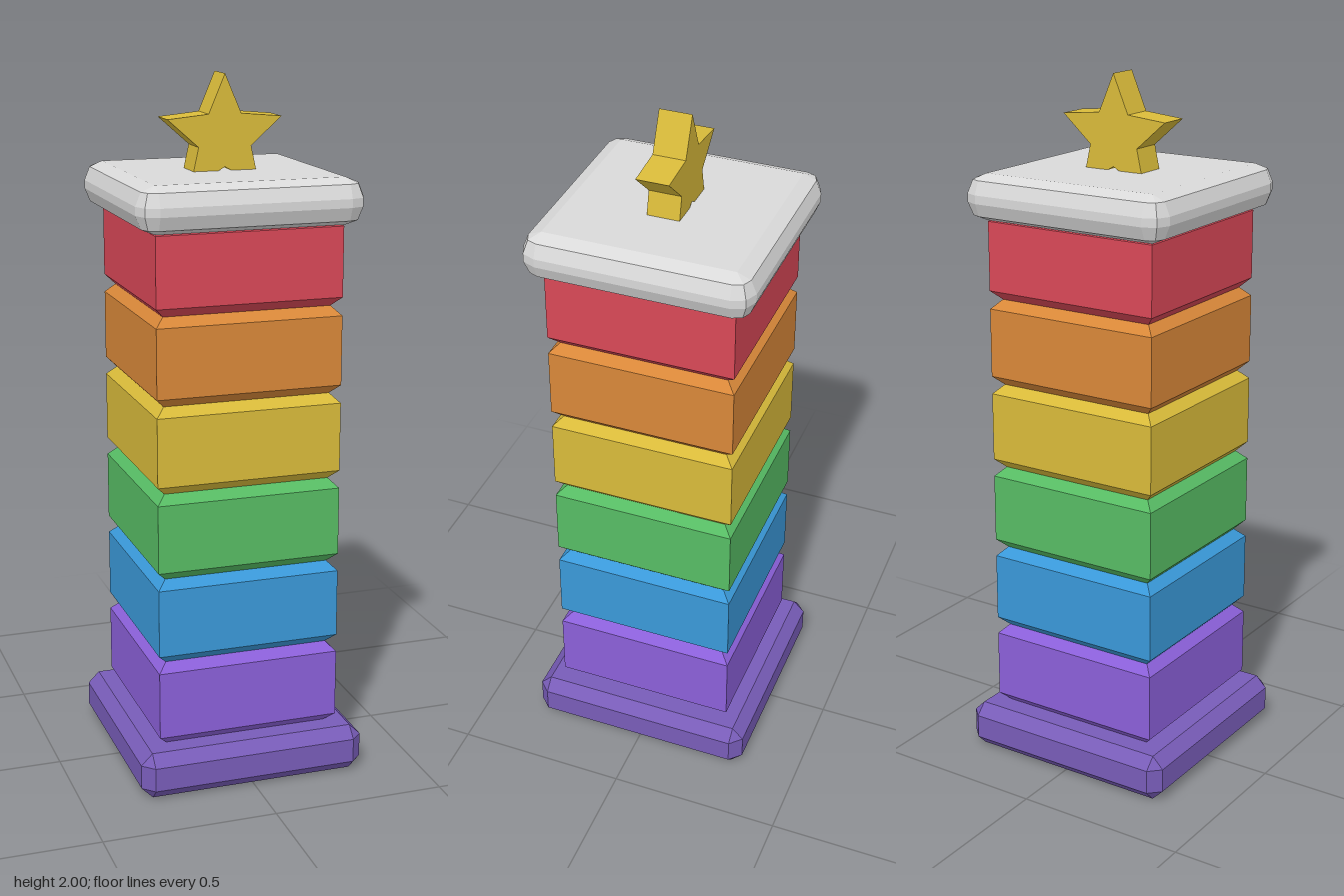
import * as THREE from 'three';
import { ConvexGeometry } from 'three/addons/geometries/ConvexGeometry.js';

const material = (name, color) => {
  const m = new THREE.MeshStandardMaterial({ color });
  m.name = name;
  return m;
};

// Square slab from rings [core half-width, corner radius, y];
// each corner is cut into the given number of steps (0 = sharp).
function slab(rings, steps) {
  const points = [];
  for (const [core, radius, y] of rings) {
    for (const sx of [-1, 1]) for (const sz of [-1, 1]) {
      const count = radius > 0 ? steps : 0;
      for (let i = 0; i <= count; i++) {
        const a = count ? (i / count) * Math.PI / 2 : 0;
        const dx = radius * Math.cos(a), dz = radius * Math.sin(a);
        points.push(new THREE.Vector3(sx * (core + dx), y, sz * (core + dz)));
      }
    }
  }
  return new ConvexGeometry(points);
}

export function createModel() {
  const model = new THREE.Group();
  model.name = 'stackedTower';
  const add = (name, geometry, mat) => {
    const mesh = new THREE.Mesh(geometry, mat);
    mesh.name = name;
    model.add(mesh);
    return mesh;
  };

  // Bevelled plinth
  add('base', slab([[0.3, 0, 0], [0.3, 0.033, 0.033], [0.3, 0.033, 0.103], [0.3, 0, 0.136]], 1),
    material('deepPurple', 0x785cb8));

  // Six coloured tiers with bevelled top and bottom edges
  const tiers = [
    ['purple', 0x8b60d9], ['blue', 0x3a99d9], ['green', 0x57bc64],
    ['yellow', 0xd9bb3a], ['orange', 0xd98839], ['red', 0xd94857],
  ];
  const height = 0.2487, bevel = 0.026, half = 0.267;
  const materials = {};
  tiers.forEach(([name, color], i) => {
    materials[name] = material(name, color);
    const y0 = 0.136 + i * height, y1 = y0 + height;
    add(name + 'Tier', slab([
      [half - bevel, 0, y0], [half, 0, y0 + bevel],
      [half, 0, y1 - bevel], [half - bevel, 0, y1],
    ], 0), materials[name]);
  });

  // Rounded cap
  const r = 0.053, mid = r * Math.SQRT1_2, low = 1.606, high = 1.736, core = 0.268;
  add('cap', slab([
    [core, 0, low], [core, mid, low + r - mid], [core, r, low + r],
    [core, r, high - r], [core, mid, high - r + mid], [core, 0, high],
  ], 2), material('lightGrey', 0xd9d9d9));

  // Five-pointed star, its lower tips sunk into the cap
  const shape = new THREE.Shape();
  for (let i = 0; i < 10; i++) {
    const a = Math.PI / 2 + i * Math.PI / 5, radius = i % 2 ? 0.08 : 0.1735;
    const x = radius * Math.cos(a), y = radius * Math.sin(a);
    if (i) shape.lineTo(x, y); else shape.moveTo(x, y);
  }
  shape.closePath();
  const star = add('star', new THREE.ExtrudeGeometry(shape, { depth: 0.092, bevelEnabled: false }),
    materials.yellow);
  star.position.set(0, 1.8265, -0.046);

  return model;
}
